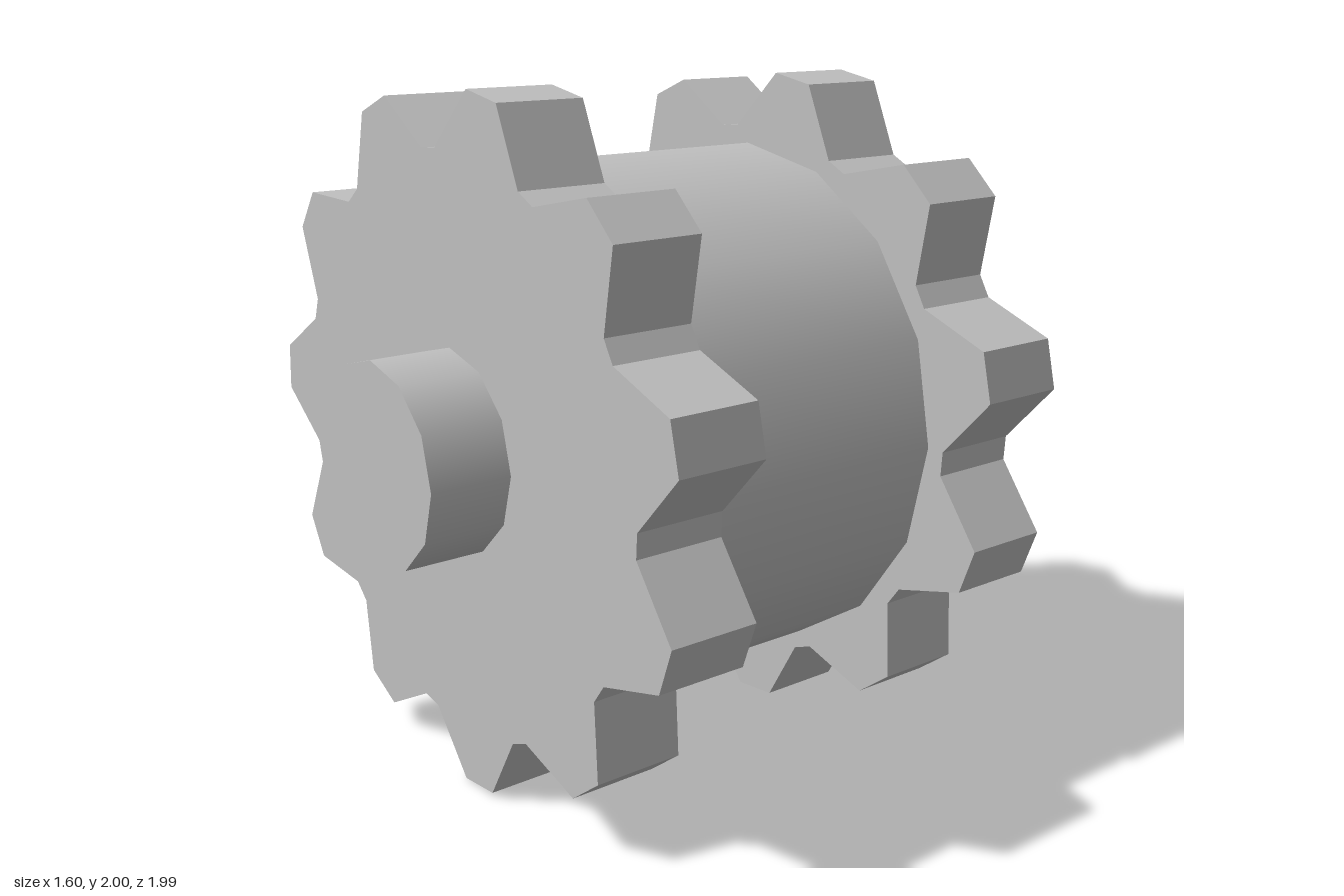
import * as THREE from 'three';

const CY = 1.0036, CZ = 0.007; // axle centre line

export function createModel() {
  const model = new THREE.Group();
  const steel = new THREE.MeshStandardMaterial({ color: 0xc0c0c0 });
  steel.name = 'grey steel';

  // Toothed outline: a flat tip and a flat valley for each of the 11 teeth
  const teeth = 11, step = (Math.PI * 2) / teeth;
  const rad = THREE.MathUtils.degToRad;
  const corners = [];
  for (let i = 0; i < teeth; i++) {
    const tip = rad(79.3) + i * step, valley = tip + step / 2;
    for (const [angle, r] of [
      [tip - rad(4.05), 1.004], [tip + rad(4.05), 1.004],
      [valley - rad(2.4), 0.836], [valley + rad(2.4), 0.836],
    ]) corners.push(new THREE.Vector2(-r * Math.cos(angle), r * Math.sin(angle)));
  }
  const outline = new THREE.Shape(corners);

  function add(name, geometry, x) {
    const mesh = new THREE.Mesh(geometry, steel);
    mesh.name = name;
    mesh.position.set(x, CY, CZ);
    model.add(mesh);
  }

  // Two matching sprocket wheels
  const wheel = new THREE.ExtrudeGeometry(outline, { depth: 0.27, bevelEnabled: false });
  wheel.rotateY(Math.PI / 2);
  add('rightSprocket', wheel, -0.555);
  add('leftSprocket', wheel, 0.525);

  // Smooth round parts lying along x
  function round(name, radius, x0, x1, sides) {
    const geometry = new THREE.CylinderGeometry(radius, radius, x1 - x0, sides);
    geometry.rotateZ(Math.PI / 2);
    add(name, geometry, (x0 + x1) / 2);
  }
  round('drum', 0.783, -0.285, 0.525, 16);
  round('axleStub', 0.295, -0.8, -0.555, 12);

  return model;
}
